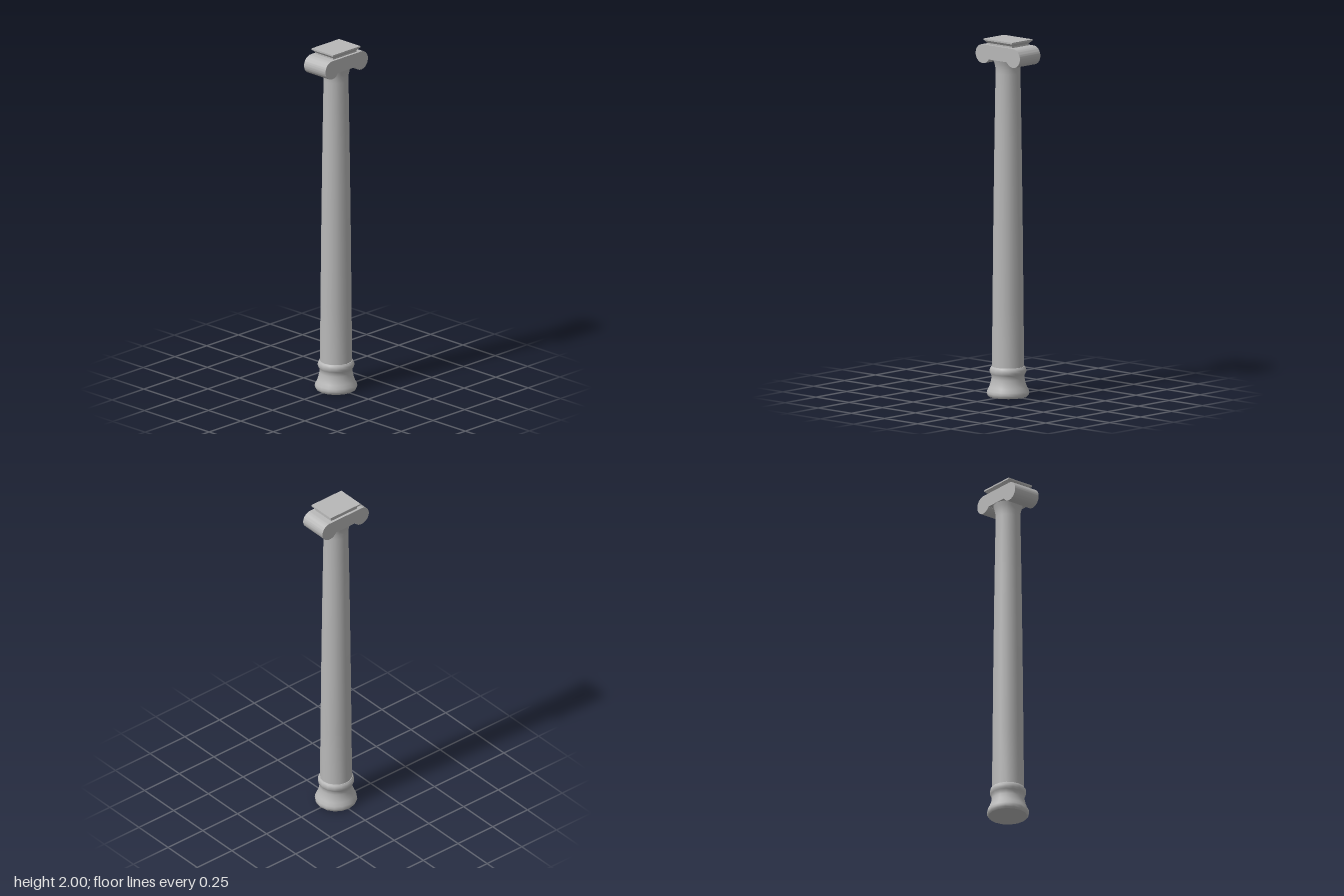
import * as THREE from 'three';
import { toCreasedNormals } from 'three/addons/utils/BufferGeometryUtils.js';

export function createModel() {
  const model = new THREE.Group();
  const stone = new THREE.MeshStandardMaterial({ color: 0xb8b8b8 });
  stone.name = 'grey stone';

  const add = (name, geometry) => {
    const mesh = new THREE.Mesh(geometry, stone);
    mesh.name = name;
    model.add(mesh);
  };
  const turned = (profile) => toCreasedNormals(
    new THREE.LatheGeometry(profile.map(([r, y]) => new THREE.Vector2(r, y)), 16), 0.75);

  // Moulded foot: flared plinth, waist and rounded collar
  add('base', turned([
    [0, 0], [0.108, 0], [0.115, 0.008], [0.118, 0.02], [0.115, 0.034], [0.105, 0.053],
    [0.097, 0.075], [0.092, 0.1], [0.092, 0.118], [0.097, 0.127], [0.101, 0.138],
    [0.101, 0.15], [0.097, 0.162], [0.092, 0.168], [0.08, 0.168],
  ]));

  // Tapered shaft, flaring below the capital
  add('shaft', turned([
    [0.089, 0.165], [0.086, 0.5], [0.081, 1], [0.075, 1.45], [0.069, 1.81],
    [0.07, 1.84], [0.075, 1.865], [0.083, 1.89], [0, 1.89],
  ]));

  // Capital: flat bar ending in a scroll at each side
  const cx = 0.114, cy = 1.914, r = 0.053;
  const scroll = new THREE.Shape();
  scroll.moveTo(-0.07, 1.887);
  scroll.lineTo(0.07, 1.887);
  scroll.absarc(cx, cy, r, Math.PI * 1.18, Math.PI * 2.5, false);
  scroll.lineTo(-cx, cy + r);
  scroll.absarc(-cx, cy, r, Math.PI * 0.5, Math.PI * 1.82, false);
  scroll.closePath();
  const capital = new THREE.ExtrudeGeometry(scroll, { depth: 0.166, bevelEnabled: false, curveSegments: 20 });
  capital.translate(0, 0, -0.083);
  add('scrollCapital', toCreasedNormals(capital, 0.6));

  // Rectangular block whose lower face is inset
  const block = (name, y0, y1, w, d, inset) => {
    const g = new THREE.BoxGeometry(w, y1 - y0, d);
    const p = g.attributes.position;
    for (let i = 0; i < p.count; i++) {
      if (p.getY(i) < 0) {
        p.setX(i, p.getX(i) - Math.sign(p.getX(i)) * inset);
        p.setZ(i, p.getZ(i) - Math.sign(p.getZ(i)) * inset);
      }
    }
    g.translate(0, (y0 + y1) / 2, 0);
    g.computeVertexNormals();
    add(name, g);
  };
  block('abacusNeck', 1.96, 1.976, 0.186, 0.136, 0);
  block('abacusSlope', 1.976, 1.991, 0.21, 0.16, 0.012);
  block('abacusSlab', 1.991, 2, 0.216, 0.166, 0);

  return model;
}
